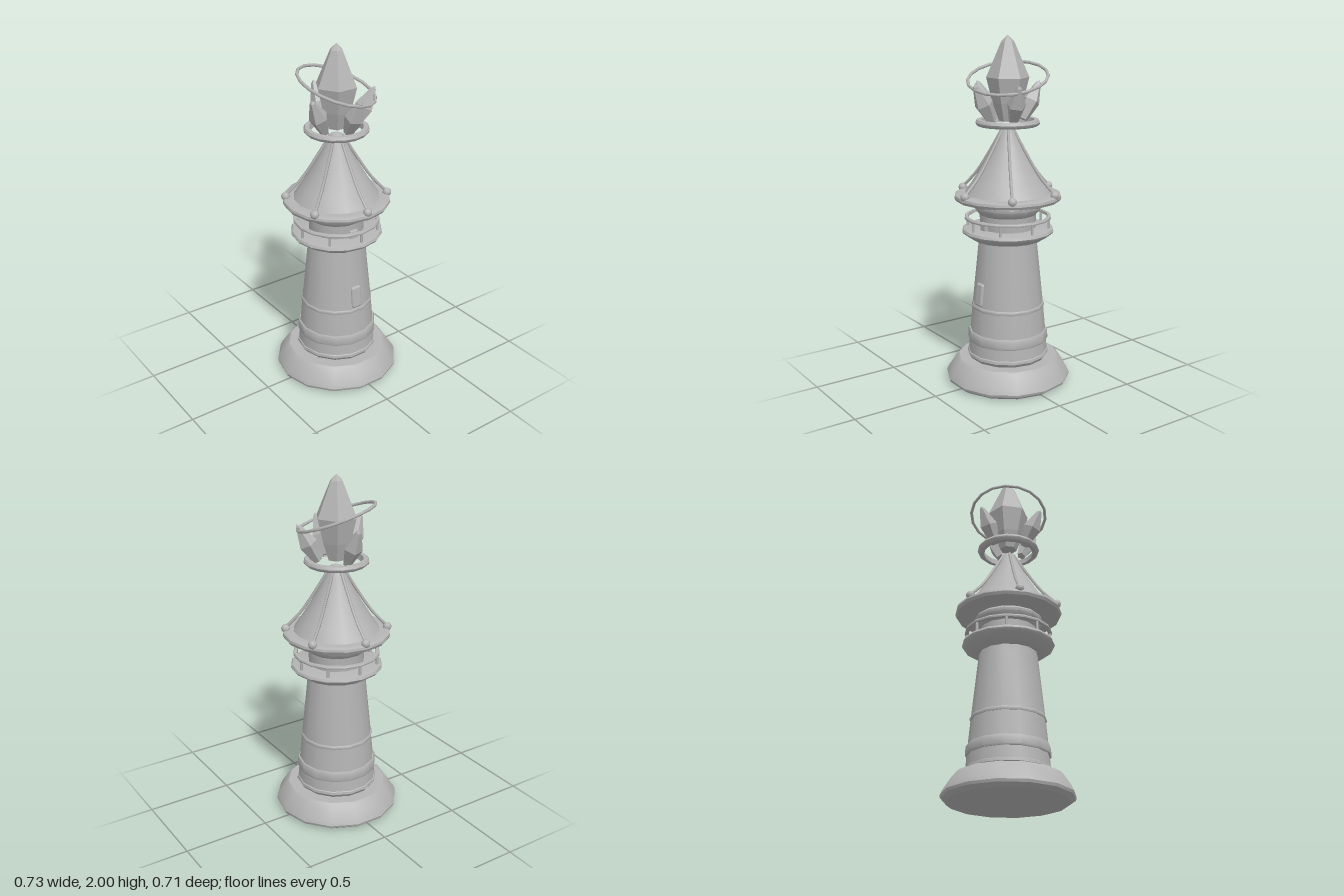
import * as THREE from 'three';
import { toCreasedNormals } from 'three/addons/utils/BufferGeometryUtils.js';
import { RoundedBoxGeometry } from 'three/addons/geometries/RoundedBoxGeometry.js';

const stone = new THREE.MeshStandardMaterial({ color: 0xb4b4b4 });
stone.name = 'grey stone';

function add(parent, name, geometry) {
  const mesh = new THREE.Mesh(geometry, stone);
  mesh.name = name;
  parent.add(mesh);
  return mesh;
}

// Turned part from [radius, height] pairs listed upwards along the outside
function turned(parent, name, sides, profile) {
  const points = profile.map(([r, y]) => new THREE.Vector2(r, y));
  const geo = new THREE.LatheGeometry(points, sides, Math.PI / 2);
  return add(parent, name, toCreasedNormals(geo, 0.62));
}

// Faceted crystal with sharp faces
function crystal(parent, name, sides, profile) {
  const points = profile.map(([r, y]) => new THREE.Vector2(r, y));
  const geo = new THREE.LatheGeometry(points, sides, Math.PI / 2).toNonIndexed();
  geo.computeVertexNormals();
  return add(parent, name, geo);
}

export function createModel() {
  const model = new THREE.Group();
  model.name = 'crystalTower';

  // Plinth and tapering tower
  turned(model, 'plinth', 14, [[0, 0], [0.33, 0], [0.358, 0.02], [0.363, 0.035],
    [0.352, 0.06], [0.305, 0.132], [0.29, 0.145], [0, 0.145]]);
  turned(model, 'towerFoot', 14, [[0, 0.14], [0.222, 0.145], [0.237, 0.165],
    [0.235, 0.18], [0.228, 0.185], [0, 0.185]]);
  turned(model, 'towerBody', 14, [[0, 0.15], [0.231, 0.17], [0.22, 0.31],
    [0.206, 0.46], [0.165, 0.86], [0, 0.86]]);
  turned(model, 'lowerBand', 14, [[0, 0.25], [0.231, 0.25], [0.234, 0.257],
    [0.231, 0.302], [0.227, 0.31], [0, 0.31]]);
  turned(model, 'upperBand', 14, [[0, 0.45], [0.21, 0.45], [0.212, 0.456],
    [0.211, 0.466], [0.207, 0.472], [0, 0.472]]);

  // Window and gallery door on the front
  const window = add(model, 'window', new RoundedBoxGeometry(0.066, 0.135, 0.03, 2, 0.014));
  window.position.set(0, 0.545, 0.191);
  window.rotation.x = -0.1;
  add(model, 'galleryDoor', new RoundedBoxGeometry(0.055, 0.06, 0.025, 2, 0.01))
    .position.set(0, 0.937, 0.162);

  // Gallery platform and railing
  turned(model, 'gallery', 16, [[0, 0.845], [0.165, 0.845], [0.2, 0.855], [0.235, 0.877],
    [0.258, 0.892], [0.264, 0.903], [0.258, 0.917], [0.25, 0.92], [0, 0.92]]);
  turned(model, 'handrail', 16, [[0.228, 0.974], [0.248, 0.974], [0.25, 0.982],
    [0.246, 0.99], [0.23, 0.99], [0.228, 0.974]]);
  for (let i = 0; i < 8; i++) {
    const a = (i * Math.PI) / 4;
    const post = add(model, 'railPost', new THREE.CylinderGeometry(0.008, 0.008, 0.07, 6));
    post.position.set(0.236 * Math.cos(a), 0.948, 0.236 * Math.sin(a));
  }

  // Watch room with flared cornice
  turned(model, 'watchRoom', 14, [[0, 0.91], [0.158, 0.91], [0.162, 1.0], [0.17, 1.005],
    [0.195, 1.04], [0.197, 1.056], [0.185, 1.07], [0, 1.07]]);

  // Concave roof, brim, ribs and ball ends
  turned(model, 'roofBrim', 16, [[0, 1.08], [0.285, 1.08], [0.298, 1.084], [0.307, 1.1],
    [0.304, 1.114], [0.294, 1.12], [0.275, 1.122], [0, 1.122]]);
  turned(model, 'roof', 16, [[0, 1.115], [0.25, 1.115], [0.2, 1.19], [0.15, 1.27],
    [0.105, 1.35], [0.063, 1.43], [0.035, 1.49], [0, 1.505]]);
  for (let i = 0; i < 6; i++) {
    const rib = new THREE.Group();
    rib.name = 'roofRib';
    rib.rotation.y = Math.PI / 6 + (i * Math.PI) / 3;
    const curve = new THREE.CatmullRomCurve3([[0.285, 1.135], [0.2, 1.225], [0.11, 1.36],
      [0.032, 1.49]].map(([r, y]) => new THREE.Vector3(r, y, 0)));
    add(rib, 'ribBar', new THREE.TubeGeometry(curve, 8, 0.009, 5));
    add(rib, 'ribBall', new THREE.SphereGeometry(0.025, 10, 8)).position.set(0.288, 1.127, 0);
    model.add(rib);
  }

  // Open crown ring
  turned(model, 'crownRing', 16, [[0.145, 1.503], [0.168, 1.503], [0.18, 1.514],
    [0.183, 1.523], [0.175, 1.538], [0.15, 1.538], [0.145, 1.503]]);

  // Central crystal and four leaning shards
  crystal(model, 'mainCrystal', 6, [[0, 1.53], [0.05, 1.53], [0.085, 1.63], [0.12, 1.77],
    [0.036, 1.965], [0, 2.0]]);
  for (const degrees of [90, 270, 18, 162]) {
    const a = (degrees * Math.PI) / 180;
    const out = new THREE.Vector3(Math.cos(a), 0, Math.sin(a));
    const foot = out.clone().multiplyScalar(0.105).setY(1.53);
    const tip = out.clone().multiplyScalar(0.22).setY(1.742);
    const lean = tip.clone().sub(foot);
    const shard = crystal(model, 'crystalShard', 5, [[0, 0], [0.026, 0], [0.054, 0.115],
      [0.015, lean.length() - 0.015], [0, lean.length()]]);
    shard.position.copy(foot);
    shard.quaternion.setFromUnitVectors(new THREE.Vector3(0, 1, 0), lean.normalize());
  }

  // Tilted ring around the main crystal
  const halo = add(model, 'orbitRing', new THREE.TorusGeometry(0.224, 0.009, 6, 18));
  halo.position.y = 1.768;
  halo.quaternion.setFromUnitVectors(new THREE.Vector3(0, 0, 1),
    new THREE.Vector3(0.24, 1, 0.27).normalize());

  return model;
}
